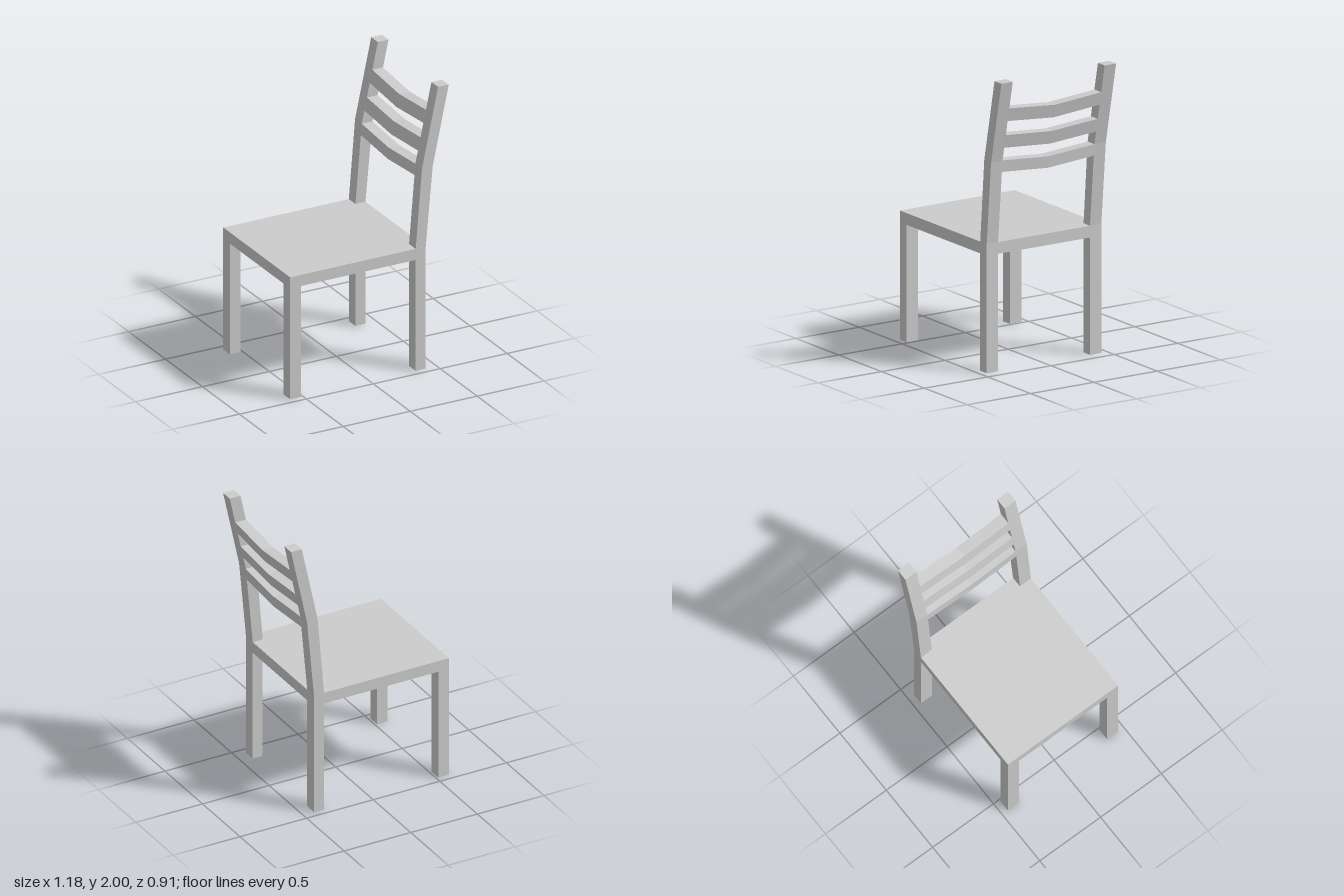
import * as THREE from 'three';

const material = new THREE.MeshStandardMaterial({ color: 0xcccccc, flatShading: true });

const SEAT_BOTTOM = 0.795, SEAT_TOP = 0.875;
const HALF_WIDTH = 0.453, POST_WIDTH = 0.09;
const POST_Z = HALF_WIDTH - POST_WIDTH / 2;
const SLAT_LENGTH = 2 * (HALF_WIDTH - POST_WIDTH);

function addMesh(group, name, geometry, x = 0, y = 0, z = 0) {
  const mesh = new THREE.Mesh(geometry, material);
  mesh.name = name;
  mesh.position.set(x, y, z);
  group.add(mesh);
}

// Side outline in x/y, extruded along z and centred on z = 0
function extrudeSide(points, width, steps = 1) {
  const shape = new THREE.Shape(points.map(([x, y]) => new THREE.Vector2(x, y)));
  const geometry = new THREE.ExtrudeGeometry(shape, { depth: width, steps, bevelEnabled: false });
  return geometry.translate(0, 0, -width / 2);
}

// Slat with its middle dropped, so it forms a shallow V between the posts
function slatGeometry(points, drop) {
  const geometry = extrudeSide(points, SLAT_LENGTH, 2);
  const pos = geometry.attributes.position;
  for (let i = 0; i < pos.count; i++) {
    const toEnd = Math.abs(pos.getZ(i)) / (SLAT_LENGTH / 2);
    pos.setY(i, pos.getY(i) - drop * (1 - toEnd));
  }
  geometry.computeVertexNormals();
  return geometry;
}

export function createModel() {
  const chair = new THREE.Group();
  chair.name = 'chair';

  // Seat slab
  addMesh(chair, 'seat',
    new THREE.BoxGeometry(1.013, SEAT_TOP - SEAT_BOTTOM, 2 * HALF_WIDTH),
    -0.0885, (SEAT_TOP + SEAT_BOTTOM) / 2, 0);

  // Legs and bent back posts, mirrored across z
  const frontLeg = new THREE.BoxGeometry(0.08, SEAT_BOTTOM, POST_WIDTH);
  const backLeg = new THREE.BoxGeometry(0.075, SEAT_BOTTOM, POST_WIDTH);
  const post = extrudeSide([
    [0.343, SEAT_TOP], [0.418, SEAT_TOP], [0.47, 1.44],
    [0.59, 2], [0.51, 2], [0.39, 1.44],
  ], POST_WIDTH);
  for (const side of [-1, 1]) {
    addMesh(chair, 'frontLeg', frontLeg, -0.555, SEAT_BOTTOM / 2, side * POST_Z);
    addMesh(chair, 'backLeg', backLeg, 0.3805, SEAT_BOTTOM / 2, side * POST_Z);
    addMesh(chair, 'backPost', post, 0, 0, side * POST_Z);
  }

  // Back slats, following the lean of the posts
  const slats = [
    { bottom: [0.384, 1.36], top: [0.39, 1.44], drop: 0.027 },
    { bottom: [0.41, 1.53], top: [0.429, 1.62], drop: 0.027 },
    { bottom: [0.45, 1.72], top: [0.469, 1.81], drop: 0.03 },
  ];
  for (const { bottom: [bx, by], top: [tx, ty], drop } of slats) {
    addMesh(chair, 'backSlat', slatGeometry(
      [[bx, by], [bx + 0.079, by], [tx + 0.08, ty], [tx, ty]], drop));
  }

  return chair;
}
